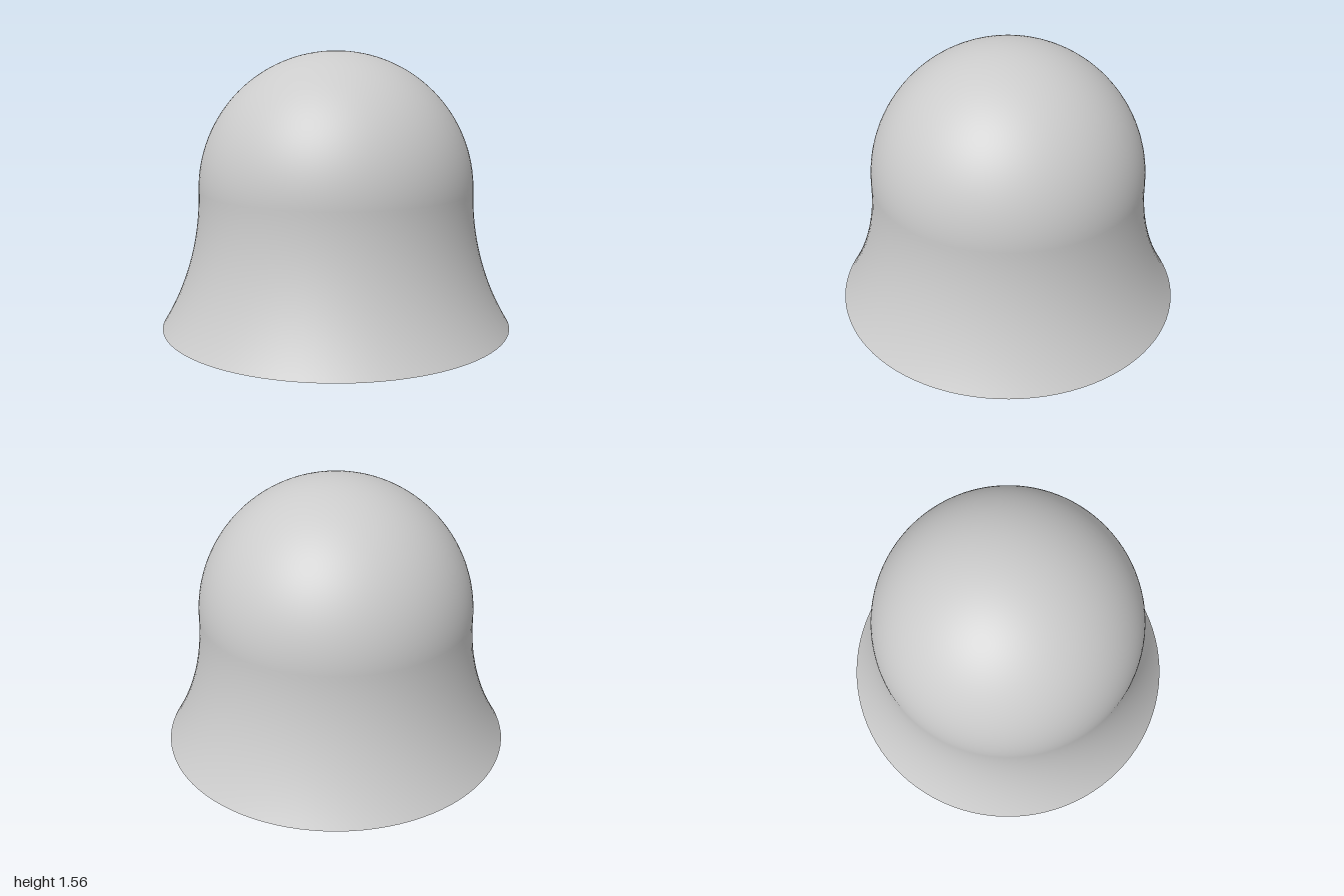
import * as THREE from 'three';

const SEGMENTS = 96;
const DOME_RADIUS = 0.78;
const JOIN_Y = 0.777; // height where dome meets skirt
const BASE_RADIUS = 1;

export function createModel() {
  const group = new THREE.Group();
  group.name = 'bell';
  const material = new THREE.MeshStandardMaterial({ color: 0xcccccc });
  const add = (name, geometry) => {
    const mesh = new THREE.Mesh(geometry, material);
    mesh.name = name;
    group.add(mesh);
    return mesh;
  };

  // Hemispherical dome
  const dome = add('dome', new THREE.SphereGeometry(
    DOME_RADIUS, SEGMENTS, 32, 0, Math.PI * 2, 0, Math.PI / 2));
  dome.position.y = JOIN_Y;

  // Flared skirt: circular arc, vertical at the dome and spreading to the base
  const flare = BASE_RADIUS - DOME_RADIUS;
  const arcRadius = (JOIN_Y ** 2 + flare ** 2) / (2 * flare);
  const sweep = Math.asin(JOIN_Y / arcRadius);
  const profile = [];
  for (let i = 0; i <= 32; i++) {
    const a = sweep * (1 - i / 32);
    profile.push(new THREE.Vector2(
      DOME_RADIUS + arcRadius * (1 - Math.cos(a)),
      JOIN_Y - arcRadius * Math.sin(a)));
  }
  add('skirt', new THREE.LatheGeometry(profile, SEGMENTS));

  // Flat closed underside
  const base = add('base', new THREE.CircleGeometry(BASE_RADIUS, SEGMENTS));
  base.rotation.x = Math.PI / 2;

  return group;
}
